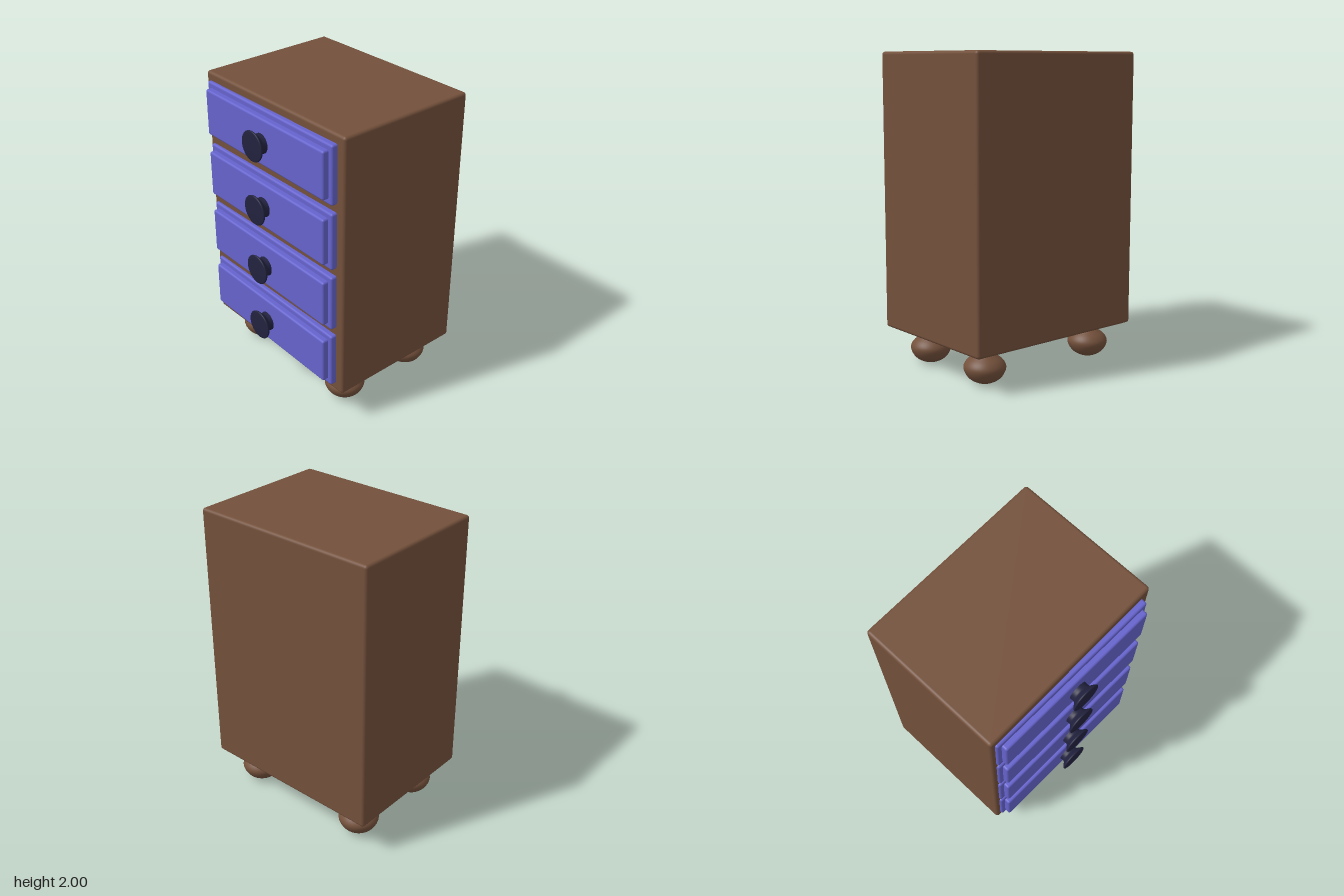
import * as THREE from 'three';
import { RoundedBoxGeometry } from 'three/addons/geometries/RoundedBoxGeometry.js';

const wood = new THREE.MeshStandardMaterial({ color: 0x73503b });
wood.name = 'brown wood';
const paint = new THREE.MeshStandardMaterial({ color: 0x6563cc });
paint.name = 'violet blue paint';
const dark = new THREE.MeshStandardMaterial({ color: 0x22223f });
dark.name = 'dark navy';

function add(parent, name, geometry, material, x, y, z) {
  const mesh = new THREE.Mesh(geometry, material);
  mesh.name = name;
  mesh.position.set(x, y, z);
  parent.add(mesh);
  return mesh;
}

// Smooth turned shape from a few [radius, height] points
function turned(points) {
  const curve = new THREE.SplineCurve(points.map(([r, h]) => new THREE.Vector2(r, h)));
  const profile = curve.getPoints(32);
  profile.forEach((p) => { p.x = Math.max(p.x, 0); });
  return new THREE.LatheGeometry(profile, 40);
}

export function createModel() {
  const model = new THREE.Group();
  model.name = 'chestOfDrawers';

  // Cabinet
  add(model, 'cabinet', new RoundedBoxGeometry(1.286, 1.77, 0.96, 4, 0.02), wood, 0, 1.115, -0.071);

  // Drawers: stepped fronts, turned very slightly about the vertical axis
  const outer = new RoundedBoxGeometry(1.195, 0.375, 0.12, 4, 0.014);
  const inner = new RoundedBoxGeometry(1.133, 0.305, 0.12, 4, 0.014);
  const knob = turned([
    [0.066, -0.02], [0.064, 0.0], [0.062, 0.02], [0.066, 0.035],
    [0.085, 0.05], [0.096, 0.06], [0.097, 0.068], [0.088, 0.072], [0.045, 0.074], [0, 0.075],
  ]);
  knob.rotateX(Math.PI / 2);
  for (let i = 0; i < 4; i++) {
    const drawer = new THREE.Group();
    drawer.name = 'drawer' + (i + 1);
    drawer.position.set(-0.007, 1.757 - i * 0.4277, 0);
    drawer.rotation.y = -0.017;
    add(drawer, 'drawerFront', outer, paint, 0, 0, 0.378);
    add(drawer, 'raisedPanel', inner, paint, 0, 0, 0.417);
    add(drawer, 'knob', knob, dark, 0, -0.006, 0.476);
    model.add(drawer);
  }

  // Bun feet
  const foot = turned([
    [0, 0], [0.055, 0.012], [0.105, 0.045], [0.131, 0.1],
    [0.113, 0.143], [0.07, 0.178], [0.036, 0.205], [0.03, 0.25],
  ]);
  for (const x of [-0.445, 0.435]) {
    for (const z of [0.2, -0.355]) add(model, 'foot', foot, wood, x, 0, z);
  }
  return model;
}
